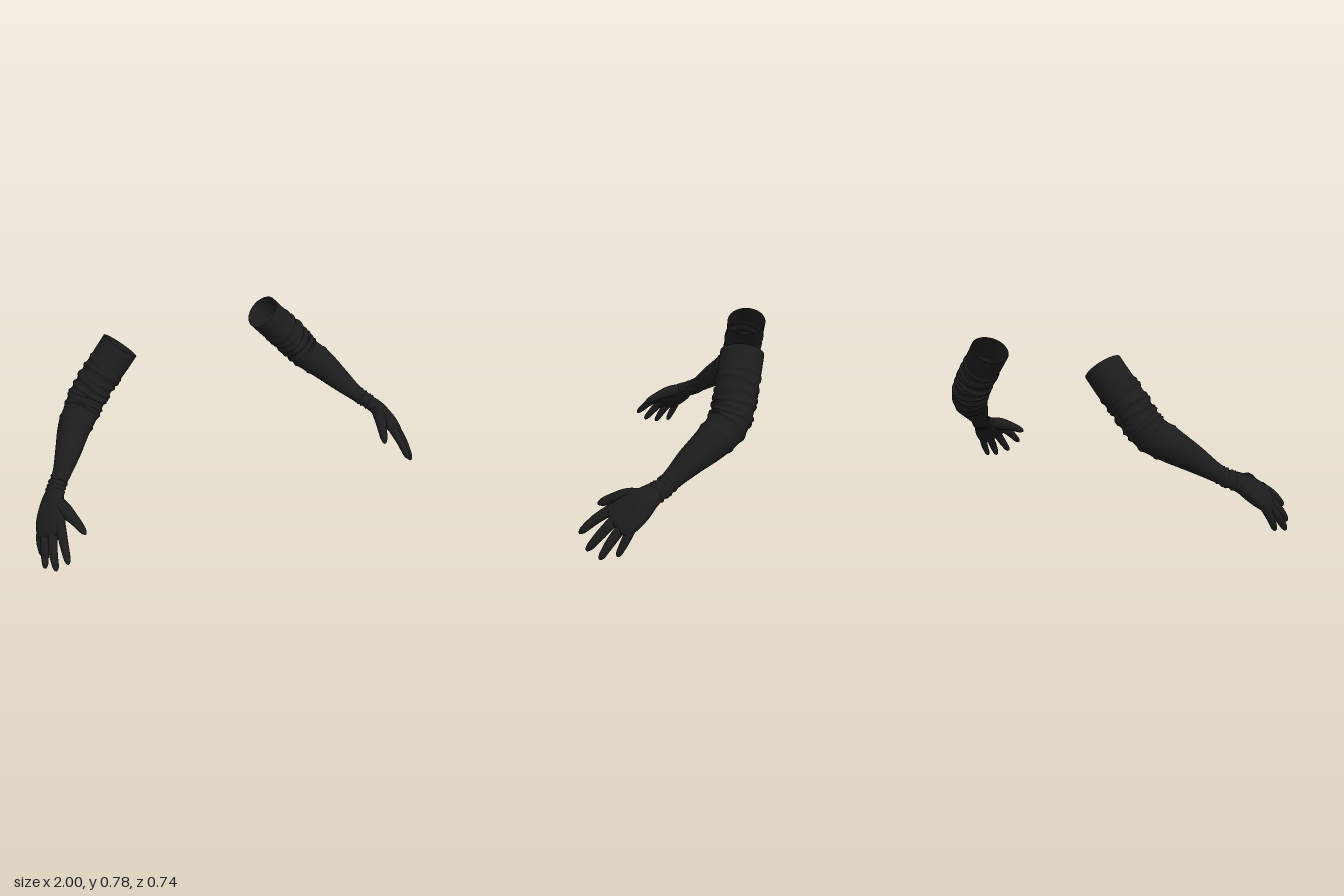
import * as THREE from 'three';

const fabric = new THREE.MeshStandardMaterial({ color: 0x1c1c1c, side: THREE.DoubleSide });
fabric.name = 'black fabric';

// direction across the back of the hand, from little finger to index finger
const ACROSS = new THREE.Vector3(-0.59, 0.416, 0.694);

// Loft of oval rings; each section is [x, y, z, half width, half thickness].
// folds: [section position, height, width, tilt, angle]; tip: start of a rounded end (0..1)
function loft(name, sections, side, { rings = 28, sides = 20, folds = [], tip = 1, flat = 1 } = {}) {
  const path = new THREE.CatmullRomCurve3(sections.map(s => new THREE.Vector3(s[0], s[1], s[2])));
  const size = new THREE.CatmullRomCurve3(sections.map(s => new THREE.Vector3(s[3], s[4], 0)));
  const pos = [], index = [];
  for (let i = 0; i <= rings; i++) {
    const t = tip < 1 ? Math.sin((i / rings) * Math.PI / 2) : i / rings;
    const c = path.getPoint(t), r = size.getPoint(t), T = path.getTangent(t);
    const W = ACROSS.clone().addScaledVector(T, -ACROSS.dot(T)).normalize();
    const N = T.clone().cross(W);
    const end = t > tip ? Math.sqrt(Math.max(0, 1 - ((t - tip) / (1 - tip)) ** 2)) : 1;
    const k = t * (sections.length - 1);
    for (let j = 0; j < sides; j++) {
      const a = (j / sides) * Math.PI * 2;
      let bump = 0;
      for (const [at, h, w, tilt, angle] of folds) {
        bump += h * Math.exp(-(((k - at - tilt * Math.cos(a - angle)) / w) ** 2));
      }
      const ca = Math.cos(a), sa = Math.sin(a);
      const u = Math.sign(ca) * Math.abs(ca) ** flat, v = Math.sign(sa) * Math.abs(sa) ** flat;
      const p = c.clone()
        .addScaledVector(W, u * (r.x + bump) * end)
        .addScaledVector(N, v * (r.y + bump) * end);
      pos.push(p.x * side, p.y, p.z);
      if (i < rings) {
        const j2 = (j + 1) % sides;
        const A = i * sides + j, B = i * sides + j2, C = B + sides, D = A + sides;
        if (side > 0) index.push(A, B, D, B, C, D);
        else index.push(A, D, B, B, D, C);
      }
    }
  }
  const geometry = new THREE.BufferGeometry();
  geometry.setAttribute('position', new THREE.Float32BufferAttribute(pos, 3));
  geometry.setIndex(index);
  geometry.computeVertexNormals();
  const mesh = new THREE.Mesh(geometry, fabric);
  mesh.name = name;
  return mesh;
}

const SLEEVE = [
  [0.378, 0.727, -0.277, 0.098, 0.086],
  [0.44, 0.657, -0.268, 0.096, 0.086],
  [0.515, 0.577, -0.255, 0.091, 0.082],
  [0.565, 0.515, -0.245, 0.09, 0.081],
  [0.61, 0.46, -0.22, 0.088, 0.08],
  [0.67, 0.41, -0.165, 0.08, 0.075],
  [0.735, 0.345, -0.08, 0.063, 0.058],
  [0.79, 0.29, -0.015, 0.046, 0.042],
  [0.825, 0.262, 0.02, 0.042, 0.036],
  [0.86, 0.238, 0.065, 0.046, 0.034],
];

// gathered cloth above the elbow, the elbow seam and the wrist creases
const FOLDS = [
  [1.3, 0.006, 0.07, 0.1, 0.5], [1.62, 0.009, 0.1, 0.12, 2.6], [1.95, 0.008, 0.08, 0.08, 4.2],
  [2.3, 0.01, 0.1, 0.14, 1.2], [2.68, 0.009, 0.1, 0.1, 5.2], [3.05, 0.01, 0.11, 0.15, 3.4],
  [3.5, 0.008, 0.11, 0.1, 0.4], [3.95, 0.007, 0.12, 0.12, 2.2], [4.75, 0.005, 0.12, 0.05, 0],
  [7.65, 0.004, 0.08, 0.1, 1], [8.0, 0.006, 0.09, 0.08, 3], [8.35, 0.006, 0.09, 0.08, 5],
  [8.7, 0.006, 0.09, 0.06, 2],
];

const PALM = [
  [0.845, 0.248, 0.05, 0.044, 0.033],
  [0.872, 0.228, 0.085, 0.056, 0.036],
  [0.895, 0.197, 0.125, 0.073, 0.037],
  [0.914, 0.168, 0.165, 0.083, 0.033],
  [0.925, 0.147, 0.195, 0.082, 0.027],
  [0.932, 0.128, 0.219, 0.076, 0.022],
];

const FINGERS = {
  indexFinger: [[0.882, 0.19, 0.215, 0.024, 0.023], [0.895, 0.14, 0.293, 0.021, 0.02], [0.903, 0.076, 0.366, 0.014, 0.014]],
  middleFinger: [[0.914, 0.163, 0.2, 0.024, 0.023], [0.942, 0.092, 0.268, 0.021, 0.02], [0.952, 0.022, 0.328, 0.014, 0.014]],
  ringFinger: [[0.942, 0.14, 0.172, 0.023, 0.022], [0.97, 0.068, 0.226, 0.02, 0.019], [0.988, 0.001, 0.268, 0.013, 0.013]],
  littleFinger: [[0.952, 0.14, 0.135, 0.021, 0.021], [0.973, 0.075, 0.166, 0.018, 0.018], [0.979, 0.013, 0.197, 0.012, 0.012]],
  thumb: [[0.866, 0.235, 0.095, 0.03, 0.03], [0.845, 0.223, 0.165, 0.035, 0.03], [0.818, 0.2, 0.235, 0.024, 0.023], [0.793, 0.165, 0.305, 0.015, 0.015]],
};

function makeGlove(name, side) {
  const glove = new THREE.Group();
  glove.name = name;
  glove.add(loft('sleeve', SLEEVE, side, { rings: 180, sides: 32, folds: FOLDS }));
  glove.add(loft('palm', PALM, side, { rings: 36, sides: 28, tip: 0.85, flat: 0.85 }));
  for (const [finger, sections] of Object.entries(FINGERS)) {
    glove.add(loft(finger, sections, side, { sides: 14, tip: 0.84 }));
  }
  return glove;
}

export function createModel() {
  const model = new THREE.Group();
  model.name = 'longGloves';
  model.add(makeGlove('leftGlove', 1), makeGlove('rightGlove', -1));
  return model;
}
